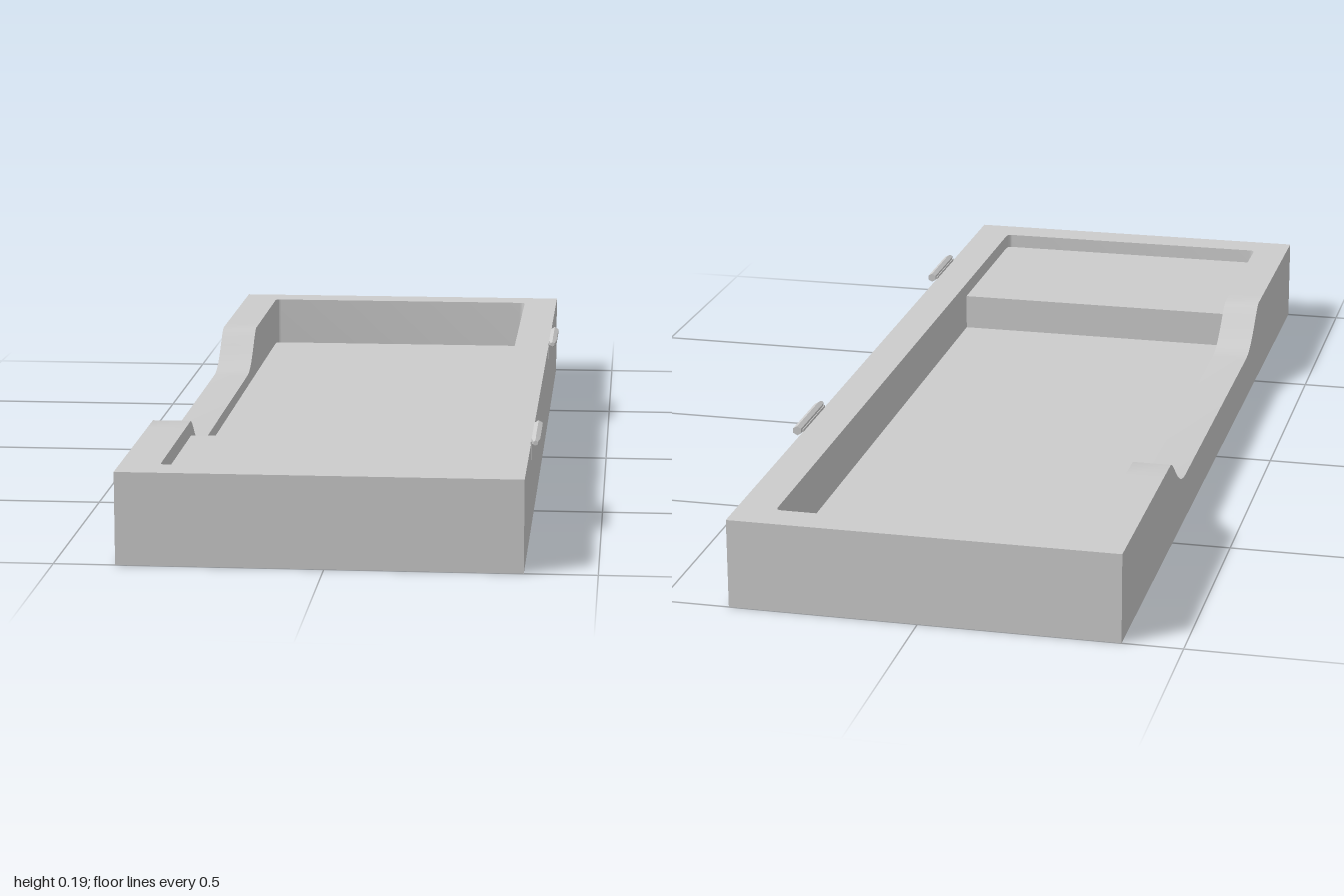
import * as THREE from 'three';
import { toCreasedNormals } from 'three/addons/utils/BufferGeometryUtils.js';

const X0 = -0.385, X1 = 0.365;          // outer sides
const IX0 = -0.31, IX1 = 0.29, IZ = 0.93; // inner cavity
const H = 0.175, FLOOR = 0.07, LEDGE = 0.145, DIP = 0.095;
const JOIN = 0.6, R = 0.012;            // scooped wall half length, inner corner radius

const grey = new THREE.MeshStandardMaterial({ color: 0xcccccc });

function add(parent, name, geometry, x = 0, y = 0, z = 0) {
  const mesh = new THREE.Mesh(geometry, grey);
  mesh.name = name;
  mesh.position.set(x, y, z);
  parent.add(mesh);
  return mesh;
}

function box(parent, name, x0, x1, y0, y1, z0, z1) {
  return add(parent, name, new THREE.BoxGeometry(x1 - x0, y1 - y0, z1 - z0),
    (x0 + x1) / 2, (y0 + y1) / 2, (z0 + z1) / 2);
}

// C-shaped plan of the straight walls, open where the scooped wall sits
function frameGeometry() {
  const s = new THREE.Shape();
  s.moveTo(X0, -JOIN);
  s.lineTo(X0, -1);
  s.lineTo(X1, -1);
  s.lineTo(X1, 1);
  s.lineTo(X0, 1);
  s.lineTo(X0, JOIN);
  s.lineTo(IX0, JOIN);
  s.lineTo(IX0, IZ - R);
  s.quadraticCurveTo(IX0, IZ, IX0 + R, IZ);
  s.lineTo(IX1 - R, IZ);
  s.quadraticCurveTo(IX1, IZ, IX1, IZ - R);
  s.lineTo(IX1, -IZ + R);
  s.quadraticCurveTo(IX1, -IZ, IX1 - R, -IZ);
  s.lineTo(IX0 + R, -IZ);
  s.quadraticCurveTo(IX0, -IZ, IX0, -IZ + R);
  s.lineTo(IX0, -JOIN);
  s.closePath();
  const g = new THREE.ExtrudeGeometry(s, { depth: H, bevelEnabled: false, curveSegments: 4 });
  return toCreasedNormals(g.rotateX(-Math.PI / 2), 0.5);
}

// Side wall whose top dips in a smooth scoop
function scoopGeometry() {
  const s = new THREE.Shape();
  s.moveTo(-JOIN, 0);
  s.lineTo(JOIN, 0);
  s.lineTo(JOIN, H);
  s.lineTo(0.53, H);
  s.bezierCurveTo(0.49, 0.165, 0.45, DIP, 0.37, DIP);
  s.lineTo(-0.37, DIP);
  s.bezierCurveTo(-0.45, DIP, -0.49, 0.165, -0.53, H);
  s.lineTo(-JOIN, H);
  s.closePath();
  const g = new THREE.ExtrudeGeometry(s, { depth: IX0 - X0, bevelEnabled: false, curveSegments: 10 });
  return toCreasedNormals(g.rotateY(-Math.PI / 2), 0.4);
}

// Six-sided hinge pin with one tapered end, and its thin leaf on the wall
function hinge(name, z0, z1) {
  const group = new THREE.Group();
  group.name = name;
  const len = z1 - z0, r = 0.0095;
  const profile = [[0, 0], [r, 0], [r, len - 0.02], [0.005, len], [0, len]]
    .map(([a, b]) => new THREE.Vector2(a, b));
  const pin = toCreasedNormals(new THREE.LatheGeometry(profile, 6).rotateX(Math.PI / 2), 0.3);
  add(group, 'hingePin', pin, 0.374, 0.18, z0);
  box(group, 'hingeLeaf', X1 - 0.001, X1 + 0.0012, 0.145, 0.18, z0 + 0.01, z1 - 0.01);
  return group;
}

export function createModel() {
  const model = new THREE.Group();
  model.name = 'tray';

  add(model, 'frameWalls', frameGeometry());
  add(model, 'scoopedWall', scoopGeometry(), IX0);
  box(model, 'floor', IX0, IX1, 0, FLOOR, -IZ, IZ);
  // Raised platform at the front end of the cavity
  box(model, 'platform', IX0, IX1, FLOOR, LEDGE, 0.525, IZ);

  model.add(hinge('frontHinge', 0.535, 0.705));
  model.add(hinge('backHinge', -0.52, -0.35));
  return model;
}
